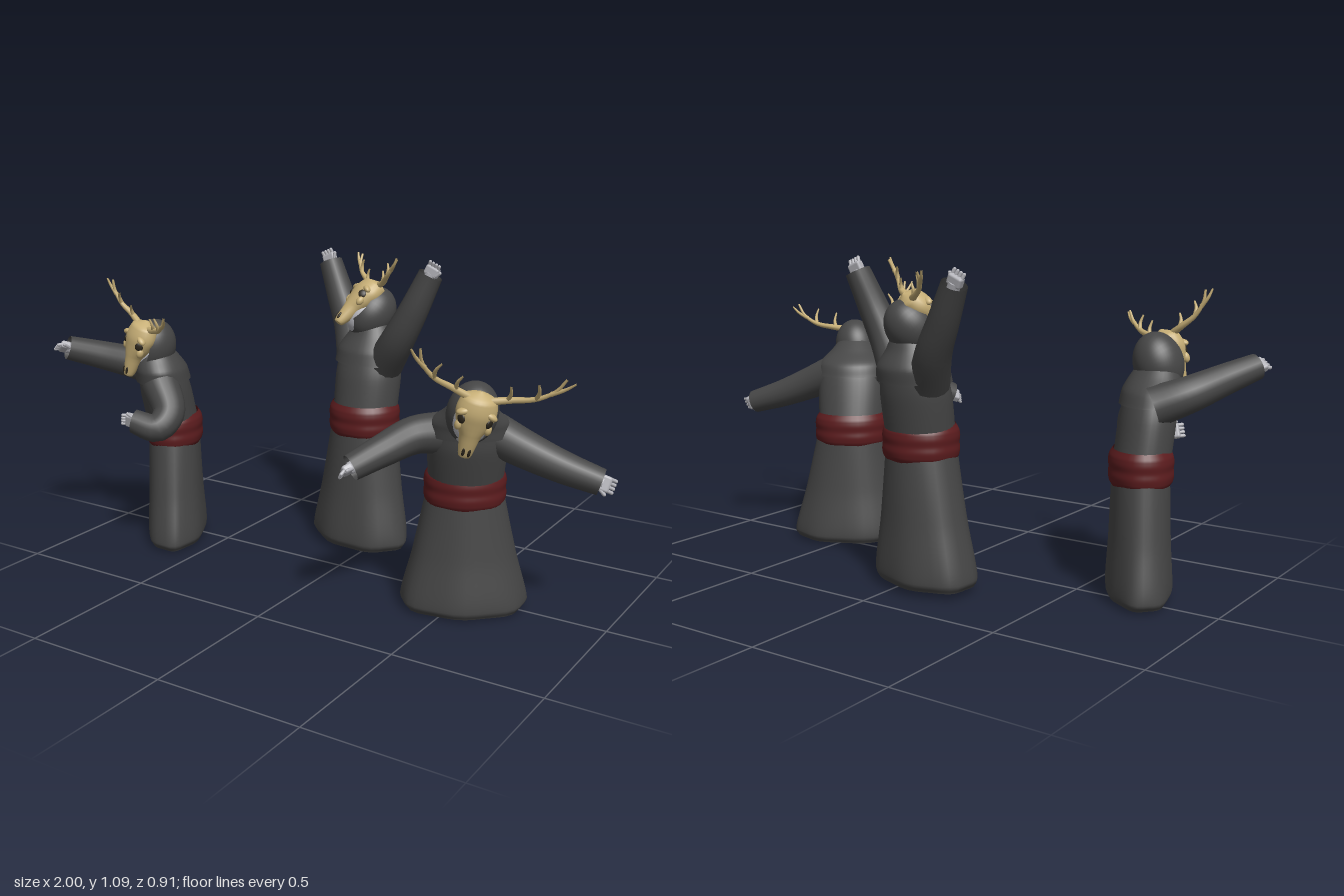
import * as THREE from 'three';
import { RoundedBoxGeometry } from 'three/addons/geometries/RoundedBoxGeometry.js';

const V = (x, y, z) => new THREE.Vector3(x, y, z);
const mix = (a, b, t) => a.clone().lerp(b, t);
const mat = (name, color, side = THREE.FrontSide) => {
  const m = new THREE.MeshStandardMaterial({ color, side });
  m.name = name;
  return m;
};

// Smooth skin through ellipses [centre, rx, rz], listed from low to high
function loft(rings, yaw = 0, ripple = 0, steps = 20, sides = 36) {
  const centre = new THREE.CatmullRomCurve3(rings.map((r) => r[0]));
  const size = new THREE.CatmullRomCurve3(rings.map((r) => V(r[1], r[2], 0)));
  const pos = [], idx = [];
  for (let i = 0; i <= steps; i++) {
    const t = i / steps, c = centre.getPoint(t), s = size.getPoint(t);
    for (let j = 0; j < sides; j++) {
      const a = (j / sides) * Math.PI * 2;
      const k = 1 + ripple * (1 - t) * Math.cos(7 * a + 1);
      const x = Math.cos(a) * s.x * k, z = Math.sin(a) * s.y * k;
      pos.push(c.x + x * Math.cos(yaw) + z * Math.sin(yaw), c.y, c.z - x * Math.sin(yaw) + z * Math.cos(yaw));
      if (i < steps) {
        const n = (j + 1) % sides, p = i * sides;
        idx.push(p + j, p + sides + j, p + n, p + n, p + sides + j, p + sides + n);
      }
    }
  }
  const g = new THREE.BufferGeometry();
  g.setAttribute('position', new THREE.Float32BufferAttribute(pos, 3));
  g.setIndex(idx);
  g.computeVertexNormals();
  return g;
}

// Tube along a curve whose radius runs from r0 to r1
function taper(curve, r0, r1, steps = 18, sides = 16) {
  const g = new THREE.TubeGeometry(curve, steps, 1, sides);
  const p = g.attributes.position, v = V(0, 0, 0);
  for (let i = 0; i < p.count; i++) {
    const t = Math.floor(i / (sides + 1)) / steps, c = curve.getPointAt(t);
    v.fromBufferAttribute(p, i).sub(c).multiplyScalar(r0 + (r1 - r0) * t).add(c);
    p.setXYZ(i, v.x, v.y, v.z);
  }
  return g;
}

export function createModel() {
  const robe = mat('charcoal cloth', 0x464646, THREE.DoubleSide);
  const red = mat('dark red cloth', 0x5c1c1e, THREE.DoubleSide);
  const bone = mat('old bone', 0xc6ae76);
  const dark = mat('socket dark', 0x2c261c);
  const skin = mat('pale grey skin', 0xb2b2b8);
  const ball = new THREE.SphereGeometry(1, 20, 14);
  const finger = new THREE.CapsuleGeometry(0.006, 0.018, 3, 8);

  const add = (parent, name, geo, material, at = [0, 0, 0], scale = [1, 1, 1]) => {
    const m = new THREE.Mesh(geo, material);
    m.name = name;
    m.position.set(...at);
    m.scale.set(...scale);
    parent.add(m);
    return m;
  };

  function makeHand(end, dir) {
    const hand = new THREE.Group();
    hand.name = 'hand';
    add(hand, 'wrist', new THREE.CylinderGeometry(0.02, 0.022, 0.07, 12), skin, [0, -0.03, 0]);
    add(hand, 'palm', new RoundedBoxGeometry(0.052, 0.036, 0.028, 2, 0.008), skin, [0, 0.012, 0]);
    for (let i = 0; i < 4; i++) {
      add(hand, 'finger', finger, skin, [-0.019 + i * 0.0127, 0.032, 0.004]).rotation.x = 0.35;
    }
    add(hand, 'thumb', finger, skin, [0.028, 0.014, 0.008]).rotation.z = -0.5;
    hand.position.copy(end);
    hand.quaternion.setFromUnitVectors(V(0, 1, 0), dir);
    return hand;
  }

  // Main beam plus tines that sprout along it; s is the side, k the spread
  function addAntler(head, s, k) {
    const at = (x, y, z) => V(s * (0.035 + x * k), 0.08 + y * k, z);
    const beam = new THREE.CatmullRomCurve3([
      at(0, 0, 0), at(0.055, 0.02, 0.005), at(0.12, 0.05, 0.025), at(0.165, 0.095, 0.04), at(0.183, 0.145, 0.05),
    ]);
    add(head, 'antlerBeam', taper(beam, 0.0125, 0.004, 16, 8), bone);
    for (const [t, lean] of [[0.2, -0.008], [0.5, -0.012], [0.68, 0.055]]) {
      const root = beam.getPoint(t);
      const tip = root.clone().add(V(s * lean * k, 0.06 * k, 0.025));
      const bend = mix(root, tip, 0.5).add(V(s * 0.006, 0, 0));
      add(head, 'antlerTine', taper(new THREE.CatmullRomCurve3([root, bend, tip]), 0.008, 0.003, 8, 8), bone);
    }
  }

  function makeHead({ at, turn, antler }) {
    const head = new THREE.Group();
    head.name = 'head';
    head.position.copy(at);
    head.rotation.set(turn[1], turn[0], turn[2], 'YXZ');
    // Hood with a round opening at the front
    const hood = new THREE.SphereGeometry(1, 32, 20, 0, Math.PI * 2, 0.85, Math.PI - 0.85).rotateX(Math.PI / 2);
    add(head, 'hood', hood, robe, [0, 0, -0.06], [0.08, 0.102, 0.083]);
    add(head, 'face', ball, skin, [0, -0.025, -0.043], [0.056, 0.075, 0.06]);
    // Long skull mask, muzzle down: height, half width, half depth
    const profile = [
      [-0.113, 0.002, 0.002], [-0.109, 0.019, 0.016], [-0.04, 0.034, 0.032], [0, 0.054, 0.041],
      [0.04, 0.063, 0.048], [0.08, 0.053, 0.042], [0.102, 0.002, 0.002],
    ];
    add(head, 'skullMask', loft(profile.map(([y, w, d]) => [V(0, y, 0.004 - y * 0.13), w, d]), 0, 0, 30, 24), bone);
    for (const s of [-1, 1]) {
      add(head, 'browRidge', ball, bone, [s * 0.043, 0.043, 0.028], [0.021, 0.011, 0.014]).rotation.z = -s * 0.4;
      add(head, 'cheekBone', ball, bone, [s * 0.045, -0.006, 0.022], [0.012, 0.018, 0.013]);
      add(head, 'eyeSocket', ball, dark, [s * 0.043, 0.019, 0.031], [0.015, 0.015, 0.006]).rotation.y = s * 0.85;
      add(head, 'nostril', ball, dark, [s * 0.009, -0.088, 0.036], [0.005, 0.014, 0.004]);
      addAntler(head, s, antler);
    }
    return head;
  }

  function makeFigure({ name, yaw, hem, waist, chest, neck, hemDepth, depth, leftArm, rightArm, head }) {
    const g = new THREE.Group();
    g.name = name;
    const left = V(Math.cos(yaw), 0, -Math.sin(yaw));
    // Bell skirt, tucked in slightly at the hem
    add(g, 'skirt', loft([
      [hem, 0.195, hemDepth - 0.012], [mix(hem, waist, 0.06), 0.209, hemDepth],
      [mix(hem, waist, 0.45), 0.17, (hemDepth + depth) / 2], [waist, 0.122, depth],
    ], yaw, 0.03, 28), robe);
    add(g, 'torso', loft([
      [waist, 0.12, depth], [mix(waist, chest, 0.6), 0.127, depth], [chest, 0.113, depth * 0.87], [neck, 0.05, 0.05],
    ], yaw), robe);
    // Wide sash with soft folds
    const folds = [-0.012, 0, 0.003, 0.001, 0.003, 0, -0.012];
    add(g, 'sash', loft(folds.map((d, i) => [
      waist.clone().add(V(0, (i / 6 - 0.5) * 0.122, 0)), 0.131 + d, depth + 0.01 + d,
    ]), yaw, 0.012, 30), red);
    // Short cape lying close over the shoulders
    const shoulders = mix(waist, chest, 0.82);
    add(g, 'mantle', loft([
      [shoulders, 0.134, depth + 0.006], [chest, 0.126, depth + 0.002], [mix(chest, neck, 0.55), 0.087, 0.08], [neck, 0.06, 0.06],
    ], yaw), robe);
    // Sleeves and hands
    for (const [s, pts] of [[1, leftArm], [-1, rightArm]]) {
      const root = shoulders.clone().addScaledVector(left, s * 0.08);
      add(g, 'sleeve', taper(new THREE.CatmullRomCurve3([root, ...pts]), 0.068, 0.043), robe);
      g.add(makeHand(pts[2], pts[2].clone().sub(pts[1]).normalize()));
    }
    // Legs and feet under the robe
    const legs = new THREE.Group();
    legs.name = 'legs';
    legs.position.set(hem.x, hem.y - 0.007, hem.z);
    legs.rotation.y = yaw;
    for (const s of [-1, 1]) {
      add(legs, 'leg', new THREE.CylinderGeometry(0.035, 0.028, 0.3, 12), skin, [s * 0.075, 0.17, -0.02]);
      add(legs, 'foot', ball, skin, [s * 0.08, 0.02, 0.005], [0.03, 0.02, 0.065]);
    }
    g.add(legs, makeHead(head));
    return g;
  }

  const model = new THREE.Group();
  model.name = 'robedFigures';

  model.add(makeFigure({
    name: 'pointingFigure', yaw: -1.02, hemDepth: 0.107, depth: 0.092,
    hem: V(-0.69, 0.007, 0.066), waist: V(-0.692, 0.43, 0.06), chest: V(-0.69, 0.67, 0.125), neck: V(-0.7, 0.755, 0.155),
    leftArm: [V(-0.59, 0.53, 0.21), V(-0.605, 0.485, 0.26), V(-0.685, 0.505, 0.29)],
    rightArm: [V(-0.82, 0.665, 0.11), V(-0.9, 0.71, 0.22), V(-0.965, 0.745, 0.312)],
    head: { at: V(-0.712, 0.76, 0.215), turn: [-0.27, -0.12, -0.27], antler: 0.74 },
  }));

  const raised = makeFigure({
    name: 'armsRaisedFigure', yaw: -0.3, hemDepth: 0.142, depth: 0.112,
    hem: V(-0.06, 0.022, -0.243), waist: V(-0.048, 0.49, -0.25), chest: V(-0.05, 0.74, -0.295), neck: V(-0.047, 0.845, -0.303),
    leftArm: [V(0.1, 0.8, -0.23), V(0.155, 0.9, -0.23), V(0.213, 1.035, -0.25)],
    rightArm: [V(-0.18, 0.8, -0.36), V(-0.235, 0.9, -0.385), V(-0.292, 1.02, -0.405)],
    head: { at: V(-0.08, 0.908, -0.268), turn: [-0.68, -0.75, 0.1], antler: 0.62 },
  });
  // Sliver of hip showing below the sash
  add(raised, 'hip', ball, skin, [0.066, 0.408, -0.2], [0.014, 0.028, 0.012]);
  model.add(raised);

  model.add(makeFigure({
    name: 'stoopingFigure', yaw: 0.52, hemDepth: 0.142, depth: 0.102,
    hem: V(0.525, 0.007, 0.064), waist: V(0.521, 0.422, 0.068), chest: V(0.56, 0.66, 0.13), neck: V(0.597, 0.74, 0.19),
    leftArm: [V(0.72, 0.575, 0.06), V(0.83, 0.53, 0.03), V(0.95, 0.49, -0.005)],
    rightArm: [V(0.41, 0.61, 0.21), V(0.35, 0.575, 0.3), V(0.285, 0.53, 0.39)],
    head: { at: V(0.635, 0.7, 0.26), turn: [0.5, 0.22, -0.22], antler: 1 },
  }));

  return model;
}
